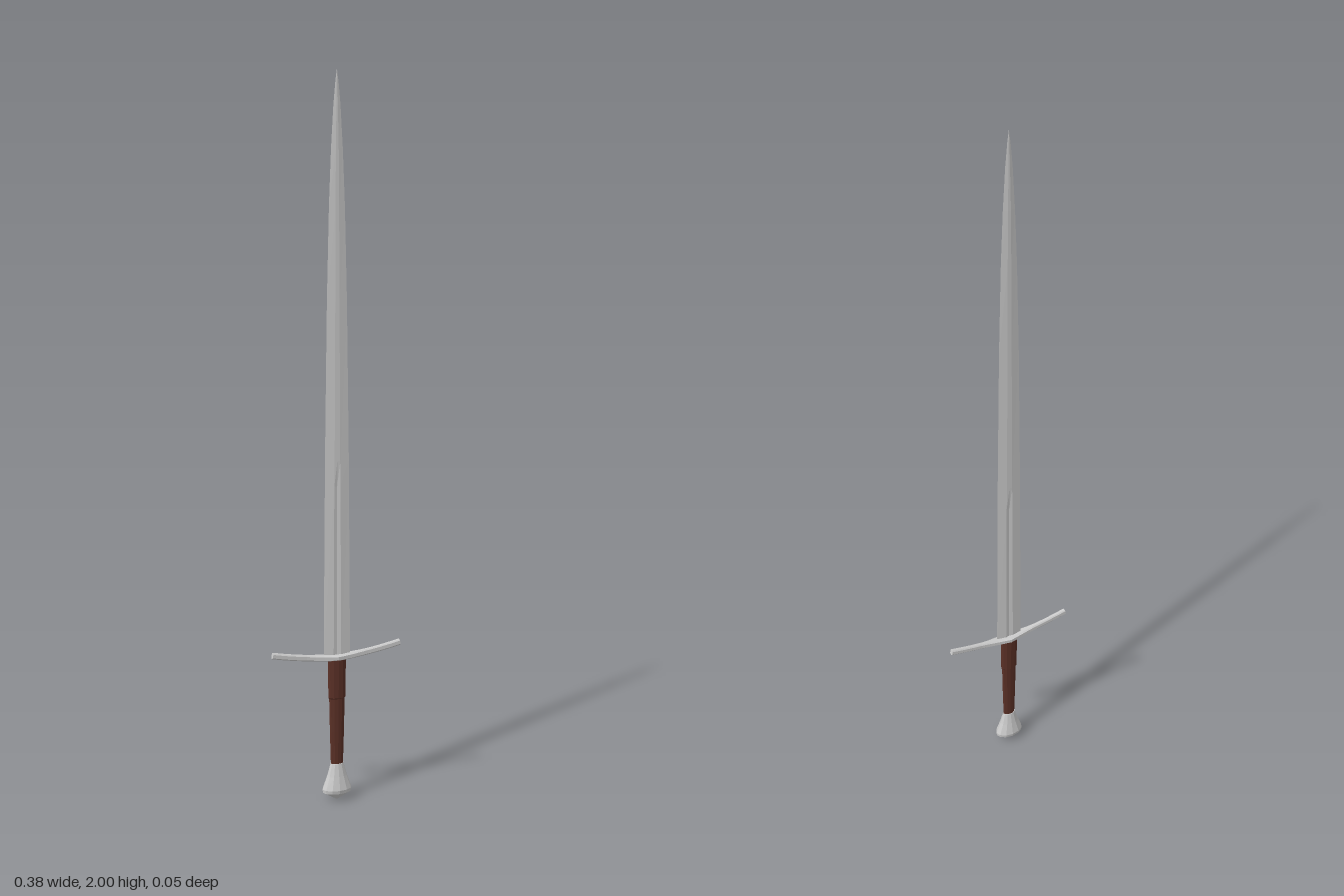
import * as THREE from 'three';

// Skins a list of equal-length rings of [x, y, z] points and closes both ends.
function loft(name, rings, color) {
  const n = rings[0].length;
  const pos = [];
  const tri = (a, b, c) => pos.push(...a, ...b, ...c);
  for (let i = 0; i < rings.length - 1; i++) {
    for (let j = 0; j < n; j++) {
      const k = (j + 1) % n;
      const a = rings[i][j], b = rings[i][k], c = rings[i + 1][j], d = rings[i + 1][k];
      tri(a, c, b);
      tri(b, c, d);
    }
  }
  const middle = (ring) => [0, 1, 2].map((q) => ring.reduce((s, p) => s + p[q], 0) / n);
  const first = rings[0], last = rings[rings.length - 1];
  for (let j = 0; j < n; j++) {
    const k = (j + 1) % n;
    tri(middle(first), first[j], first[k]);
    tri(middle(last), last[k], last[j]);
  }
  const geometry = new THREE.BufferGeometry();
  geometry.setAttribute('position', new THREE.Float32BufferAttribute(pos, 3));
  geometry.computeVertexNormals();
  const mesh = new THREE.Mesh(geometry, new THREE.MeshStandardMaterial({ color, flatShading: true }));
  mesh.name = name;
  return mesh;
}

// Horizontal oval ring with half-widths rx and rz.
function oval(y, rx, rz, sides) {
  return Array.from({ length: sides }, (_, i) => {
    const a = (i / sides) * Math.PI * 2;
    return [rx * Math.cos(a), y, rz * Math.sin(a)];
  });
}

// Blade section: sharp edges, two shoulders and a central groove on each face.
function bladeRing([y, w, t, f, g]) {
  return [[w, y, 0], [f, y, t], [0, y, g], [-f, y, t], [-w, y, 0], [-f, y, -t], [0, y, -g], [f, y, -t]];
}

// Guard section at x: chamfered bar standing across the curved path.
function guardRing(x) {
  const ax = Math.abs(x);
  const y = 0.416 + 0.024 * Math.pow(ax / 0.188, 1.7);
  const slope = (Math.sign(x) * 0.024 * 1.7 * Math.pow(ax / 0.188, 0.7)) / 0.188;
  const hz = 0.0065 + 0.0115 * Math.pow(Math.max(0, 1 - ax / 0.1), 1.5);
  const hy = 0.008;
  const section = [[1, 0.6], [0.6, 1], [-0.6, 1], [-1, 0.6], [-1, -0.6], [-0.6, -1], [0.6, -1], [1, -0.6]];
  return section.map(([u, v]) => [x - slope * u * hy, y + u * hy, -v * hz]).reverse().map(([a, b, c]) => [a, b, -c]);
}

export function createModel() {
  const model = new THREE.Group();
  model.name = 'sword';
  const steel = 0xcccccc;
  const leather = 0x5a3026;

  // Blade: y, half-width, half-thickness, shoulder position, groove depth
  const bladeSections = [
    [0.41, 0.039, 0.004, 0.011, 0.0018],
    [0.9, 0.035, 0.004, 0.009, 0.002],
    [0.97, 0.0345, 0.004, 0.008, 0.004],
    [1.4, 0.0285, 0.0037, 0.006, 0.0037],
    [1.65, 0.0225, 0.0033, 0.005, 0.0033],
    [1.8, 0.0165, 0.0028, 0.004, 0.0028],
    [1.91, 0.01, 0.002, 0.002, 0.002],
    [1.97, 0.0045, 0.001, 0.001, 0.001],
    [2.0, 0.0005, 0.0002, 0.0002, 0.0002],
  ];
  model.add(loft('blade', bladeSections.map(bladeRing), steel));

  // Upswept crossguard, widest in z at the middle
  const half = [0.188, 0.15, 0.12, 0.09, 0.065, 0.04, 0.02];
  const stations = [...half.map((x) => -x), 0, ...half.slice().reverse()];
  model.add(loft('crossguard', stations.map(guardRing), steel));

  // Grip with a thicker sleeve under the guard
  const gripSections = [
    [0.1, 0.018, 0.01],
    [0.2, 0.021, 0.011],
    [0.297, 0.023, 0.0115],
    [0.3, 0.0255, 0.0145],
    [0.412, 0.0265, 0.015],
  ];
  model.add(loft('grip', gripSections.map(([y, rx, rz]) => oval(y, rx, rz, 12)), leather));

  // Flared pommel with a shallow pointed foot
  const pommelSections = [
    [0.0, 0.004, 0.003],
    [0.022, 0.042, 0.025],
    [0.032, 0.043, 0.027],
    [0.07, 0.029, 0.019],
    [0.106, 0.019, 0.012],
  ];
  model.add(loft('pommel', pommelSections.map(([y, rx, rz]) => oval(y, rx, rz, 12)), steel));

  return model;
}
